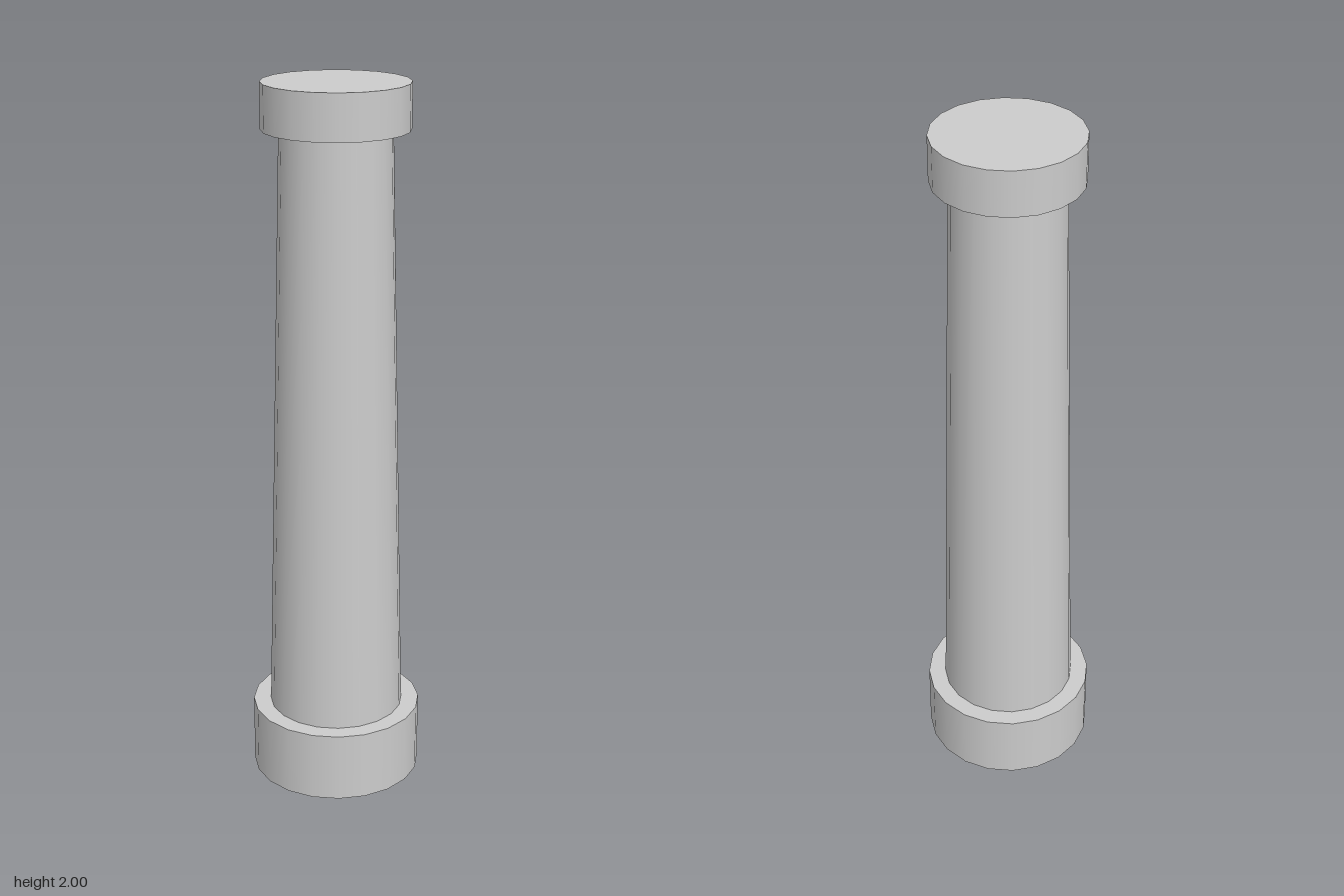
import * as THREE from 'three';

const SIDES = 20;

export function createModel() {
  const group = new THREE.Group();
  const material = new THREE.MeshStandardMaterial({ color: 0xcccccc });

  // A round drum standing between two heights
  function addDrum(name, bottomRadius, topRadius, y0, y1) {
    const geometry = new THREE.CylinderGeometry(topRadius, bottomRadius, y1 - y0, SIDES);
    const mesh = new THREE.Mesh(geometry, material);
    mesh.name = name;
    mesh.position.y = (y0 + y1) / 2;
    group.add(mesh);
  }

  addDrum('base', 0.242, 0.242, 0, 0.2);
  addDrum('taperedShaft', 0.192, 0.152, 0.2, 1.875);
  addDrum('capital', 0.2, 0.2, 1.875, 2);

  return group;
}
